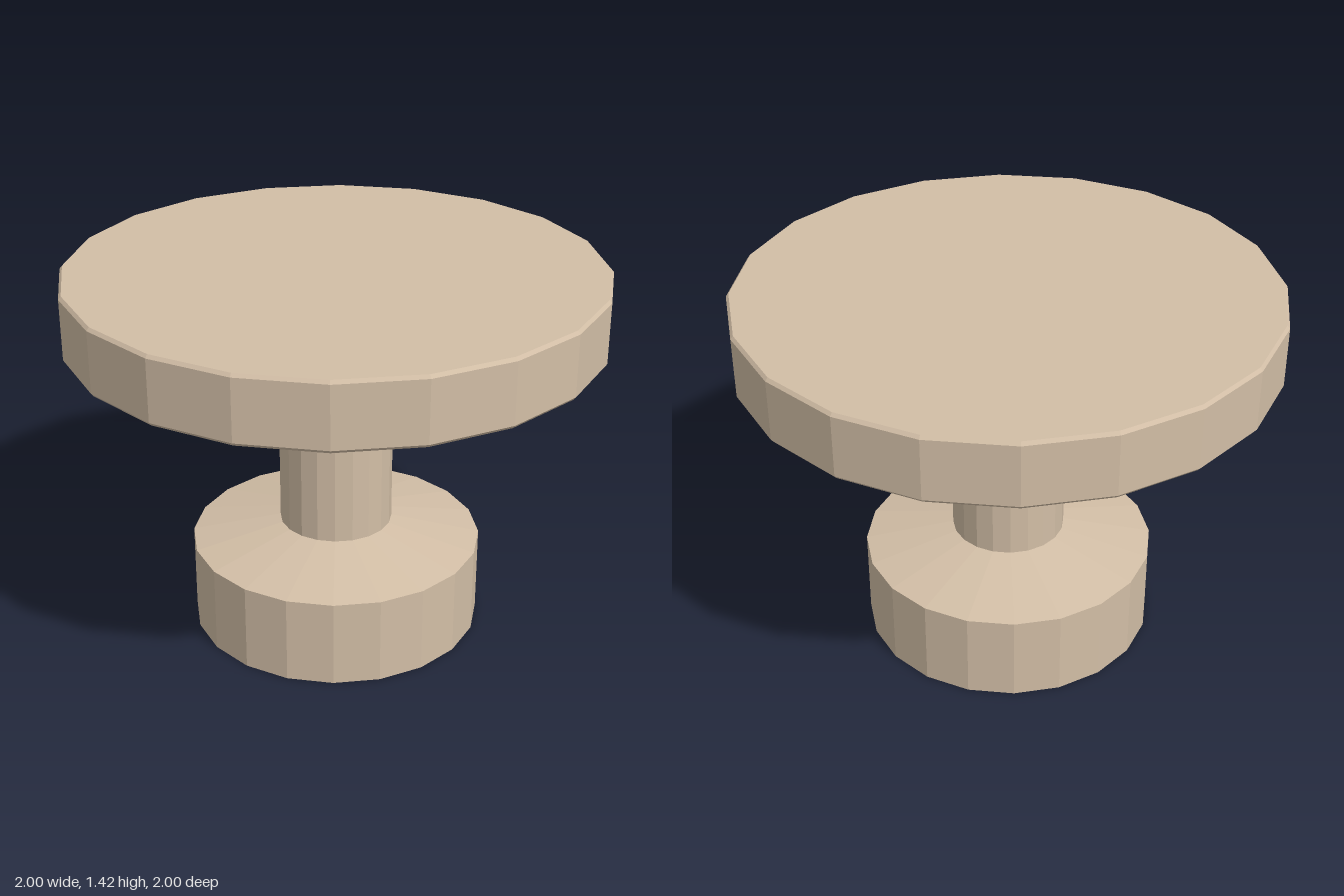
import * as THREE from 'three';

const SIDES = 20;

export function createModel() {
  const model = new THREE.Group();
  model.name = 'pedestalTable';
  const tan = new THREE.MeshStandardMaterial({ color: 0xd2bea6, flatShading: true });
  tan.name = 'tan';

  // Turned part: profile of [radius, height] pairs, listed from bottom to top
  const addTurned = (name, profile) => {
    const points = profile.map(([r, y]) => new THREE.Vector2(r, y));
    const mesh = new THREE.Mesh(new THREE.LatheGeometry(points, SIDES), tan);
    mesh.name = name;
    model.add(mesh);
  };

  // Drum foot with a shallow sloping shoulder
  addTurned('base', [[0, 0], [0.555, 0], [0.555, 0.335], [0.215, 0.405]]);

  // Open-ended post between the shoulder and the tabletop
  addTurned('column', [[0.215, 0.405], [0.215, 1.17]]);

  // Thick disc with small chamfers on both rims
  addTurned('tabletop', [
    [0, 1.17], [0.99, 1.17], [1, 1.182],
    [1, 1.408], [0.99, 1.42], [0, 1.42],
  ]);

  return model;
}
